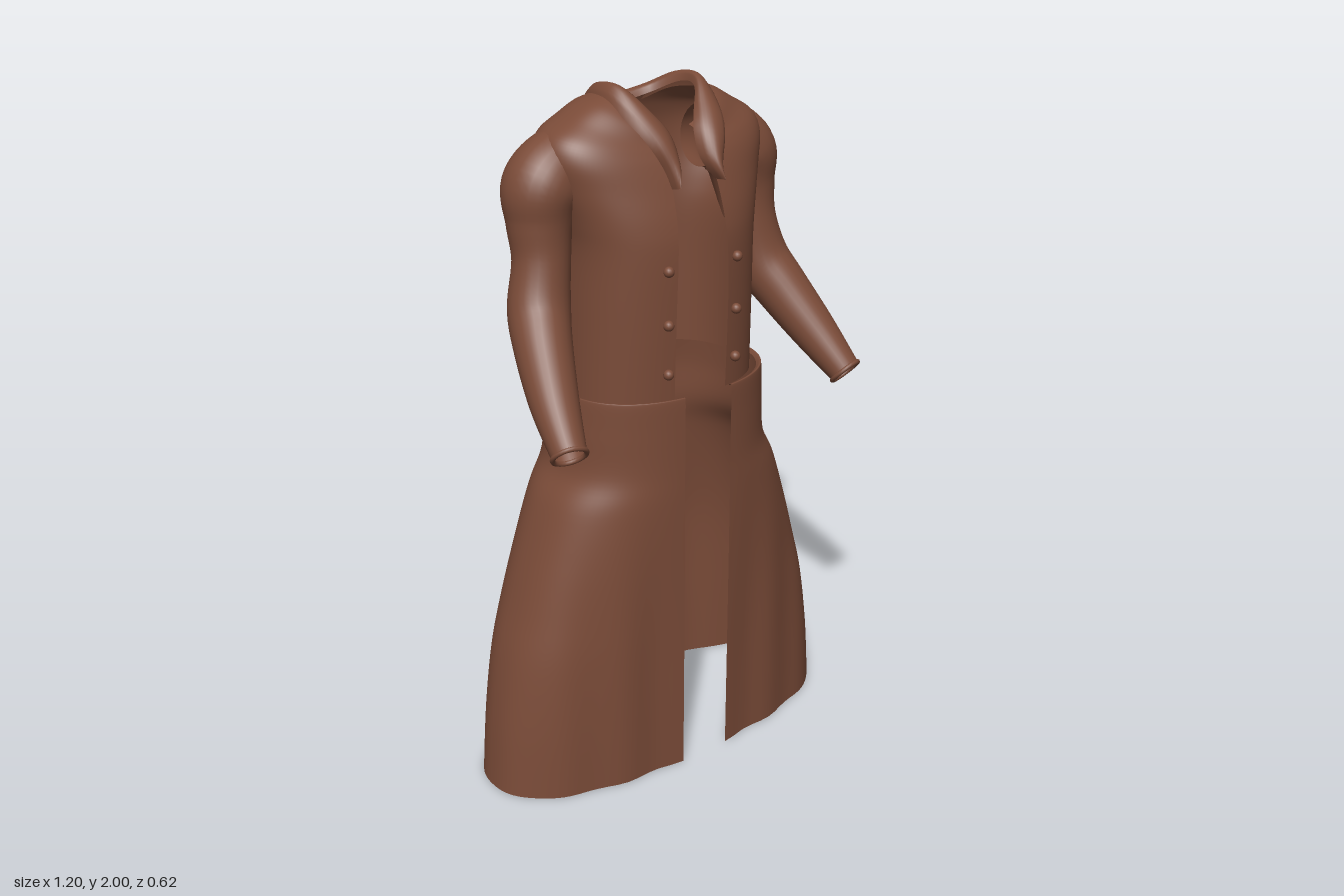
import * as THREE from 'three';

const leather = new THREE.MeshStandardMaterial({ color: 0x7a4b38, side: THREE.DoubleSide });
leather.name = 'brown leather';

// Surface from a rule fn(u, v) -> [x, y, z]; wrap closes it in u
function surface(name, nu, nv, fn, { wrap = false, flip = false } = {}) {
  const pos = [], idx = [];
  const cols = wrap ? nu : nu + 1;
  for (let j = 0; j <= nv; j++)
    for (let i = 0; i < cols; i++) pos.push(...fn(i / nu, j / nv));
  for (let j = 0; j < nv; j++)
    for (let i = 0; i < nu; i++) {
      const k = (i + 1) % cols;
      const a = j * cols + i, b = j * cols + k, c = b + cols, d = a + cols;
      if (flip) idx.push(a, c, b, a, d, c);
      else idx.push(a, b, c, a, c, d);
    }
  const geo = new THREE.BufferGeometry();
  geo.setAttribute('position', new THREE.Float32BufferAttribute(pos, 3));
  geo.setIndex(idx);
  geo.computeVertexNormals();
  const mesh = new THREE.Mesh(geo, leather);
  mesh.name = name;
  return mesh;
}

// Smooth interpolation through rows of numbers
function sample(rows, t) {
  const f = t * (rows.length - 1), k = Math.min(Math.floor(f), rows.length - 2), w = f - k;
  const at = (n) => rows[THREE.MathUtils.clamp(n, 0, rows.length - 1)];
  const [p, q, r, s] = [at(k - 1), at(k), at(k + 1), at(k + 2)];
  return q.map((_, n) => {
    const m0 = (r[n] - p[n]) / 2, m1 = (s[n] - q[n]) / 2, d = r[n] - q[n];
    return q[n] + m0 * w + (3 * d - 2 * m0 - m1) * w * w + (m0 + m1 - 2 * d) * w * w * w;
  });
}

const spow = (v, e) => Math.sign(v) * Math.pow(Math.abs(v), e);

// Open-fronted shell; row = [y, halfWidth, zFront, zBack, halfGap, frontDrop, backDrop]
function shell(name, rows, e, nv, fold = () => 0) {
  return surface(name, 96, nv, (u, v) => {
    const [y, w, zf, zb, gap, fd, bd] = sample(rows, v);
    const a0 = Math.asin(Math.pow(gap / w, 1 / e));
    const a = a0 + u * (2 * Math.PI - 2 * a0);
    const c = Math.cos(a), zc = (zf + zb) / 2, d = (zf - zb) / 2;
    const x = w * spow(Math.sin(a), e);
    const z = zc + d * spow(c, e) + fold(x, y, c);
    return [x, y - c * c * (c > 0 ? fd : bd), z];
  });
}

export function createModel() {
  const coat = new THREE.Group();
  coat.name = 'longCoat';

  // Skirt, flaring to the hem, with soft vertical folds and a turned-in top
  const skirtRows = [
    [0, 0.598, 0.24, -0.265, 0.082, 0, 0],
    [0.2, 0.578, 0.24, -0.268, 0.082, 0, 0],
    [0.4, 0.543, 0.24, -0.275, 0.082, 0, 0],
    [0.55, 0.5, 0.24, -0.28, 0.082, 0, 0],
    [0.7, 0.452, 0.24, -0.275, 0.082, 0, 0],
    [0.86, 0.392, 0.24, -0.268, 0.082, 0, 0],
    [0.96, 0.338, 0.24, -0.266, 0.082, 0, 0],
    [1.08, 0.327, 0.24, -0.266, 0.082, 0, 0],
    [1.17, 0.32, 0.24, -0.252, 0.082, 0, 0],
    [1.183, 0.316, 0.236, -0.248, 0.082, 0, 0],
    [1.175, 0.306, 0.225, -0.24, 0.082, 0, 0],
  ];
  coat.add(shell('skirt', skirtRows, 0.85, 60, (x, y, c) => {
    const low = THREE.MathUtils.smoothstep(1.0 - y, 0, 0.7);
    const bulge = Math.exp(-(((y - 0.52) / 0.2) ** 2));
    if (c > 0) return -0.012 * low * c * (1 + Math.cos((Math.abs(x) - 0.18) * 32)) / 2;
    const ridge = Math.exp(-(((Math.abs(x) - 0.09) / 0.05) ** 2));
    return -c * (0.007 * low * Math.cos(x * 30) - 0.03 * bulge * ridge);
  }));

  // Bodice, closing in over the shoulders to the neck
  coat.add(shell('bodice', [
    [1.165, 0.288, 0.203, -0.236, 0.09, 0, 0],
    [1.4, 0.284, 0.21, -0.235, 0.09, 0, 0],
    [1.57, 0.284, 0.21, -0.23, 0.085, 0, 0],
    [1.66, 0.3, 0.197, -0.225, 0.08, 0, 0],
    [1.75, 0.33, 0.168, -0.22, 0.075, 0, 0],
    [1.83, 0.35, 0.145, -0.212, 0.065, 0.025, 0],
    [1.885, 0.33, 0.128, -0.2, 0.055, 0.05, 0.005],
    [1.925, 0.265, 0.115, -0.19, 0.05, 0.07, 0.015],
    [1.958, 0.205, 0.105, -0.18, 0.045, 0.08, 0.03],
    [1.975, 0.145, 0.09, -0.165, 0.04, 0.09, 0.04],
  ], 0.82, 54));

  // Sleeve stations from shoulder to cuff: x, y, z, radius
  const sleeveRows = [
    [0.2, 1.815, -0.055, 0.09],
    [0.285, 1.8, -0.055, 0.1],
    [0.34, 1.745, -0.052, 0.108],
    [0.354, 1.66, -0.045, 0.09],
    [0.362, 1.56, -0.03, 0.079],
    [0.388, 1.44, -0.008, 0.085],
    [0.42, 1.355, 0.055, 0.079],
    [0.46, 1.24, 0.16, 0.066],
    [0.49, 1.135, 0.268, 0.047],
  ];
  // Lapel and collar edges from the back of the neck to the chest
  const inner = [[0, 1.93, -0.14], [0.075, 1.95, -0.12], [0.118, 1.985, -0.05],
    [0.112, 1.985, 0.02], [0.07, 1.93, 0.075], [0.042, 1.88, 0.115], [0.04, 1.81, 0.15], [0.07, 1.755, 0.178]];
  const outer = [[0, 1.9, -0.2], [0.09, 1.915, -0.19], [0.15, 1.955, -0.12],
    [0.168, 1.965, 0], [0.15, 1.915, 0.095], [0.125, 1.86, 0.145], [0.095, 1.8, 0.168], [0.08, 1.75, 0.182]];

  for (const s of [1, -1]) {
    const side = s > 0 ? 'left' : 'right';
    const centre = (t) => new THREE.Vector3(...sample(sleeveRows, t).slice(0, 3));
    const tangent = (t) =>
      centre(Math.min(t + 0.01, 1)).sub(centre(Math.max(t - 0.01, 0))).normalize();

    coat.add(surface(side + 'Sleeve', 28, 48, (u, v) => {
      const T = tangent(v), r = sample(sleeveRows, v)[3];
      const p = centre(v);
      const U = new THREE.Vector3().crossVectors(T, new THREE.Vector3(0, 0, 1)).normalize();
      const V = new THREE.Vector3().crossVectors(T, U);
      const a = u * Math.PI * 2;
      p.addScaledVector(U, Math.cos(a) * r).addScaledVector(V, Math.sin(a) * r);
      return [s * p.x, p.y, p.z];
    }, { wrap: true, flip: s < 0 }));

    // Rolled cuff edge
    const cuff = new THREE.Mesh(new THREE.TorusGeometry(0.046, 0.007, 8, 28), leather);
    cuff.name = side + 'Cuff';
    const end = centre(1), dir = tangent(1);
    cuff.position.set(s * end.x, end.y, end.z);
    cuff.quaternion.setFromUnitVectors(new THREE.Vector3(0, 0, 1), new THREE.Vector3(s * dir.x, dir.y, dir.z));
    coat.add(cuff);

    // Rounded collar running into the lapel
    coat.add(surface(side + 'Collar', 36, 10, (u, v) => {
      const a = sample(inner, u), b = sample(outer, u);
      const arch = Math.sin(v * Math.PI) * 0.024 - (v === 0 || v === 1 ? 0.012 : 0);
      const front = THREE.MathUtils.smoothstep(u, 0.4, 0.9);
      return [s * (a[0] + (b[0] - a[0]) * v),
        a[1] + (b[1] - a[1]) * v + arch * (1 - 0.8 * front),
        a[2] + (b[2] - a[2]) * v + arch * front];
    }, { flip: s < 0 }));

    // Buttons
    for (const y of [1.25, 1.39, 1.54]) {
      const button = new THREE.Mesh(new THREE.SphereGeometry(0.015, 16, 10), leather);
      button.name = side + 'Button';
      button.position.set(s * 0.118, y, 0.206);
      coat.add(button);
    }
  }
  return coat;
}
